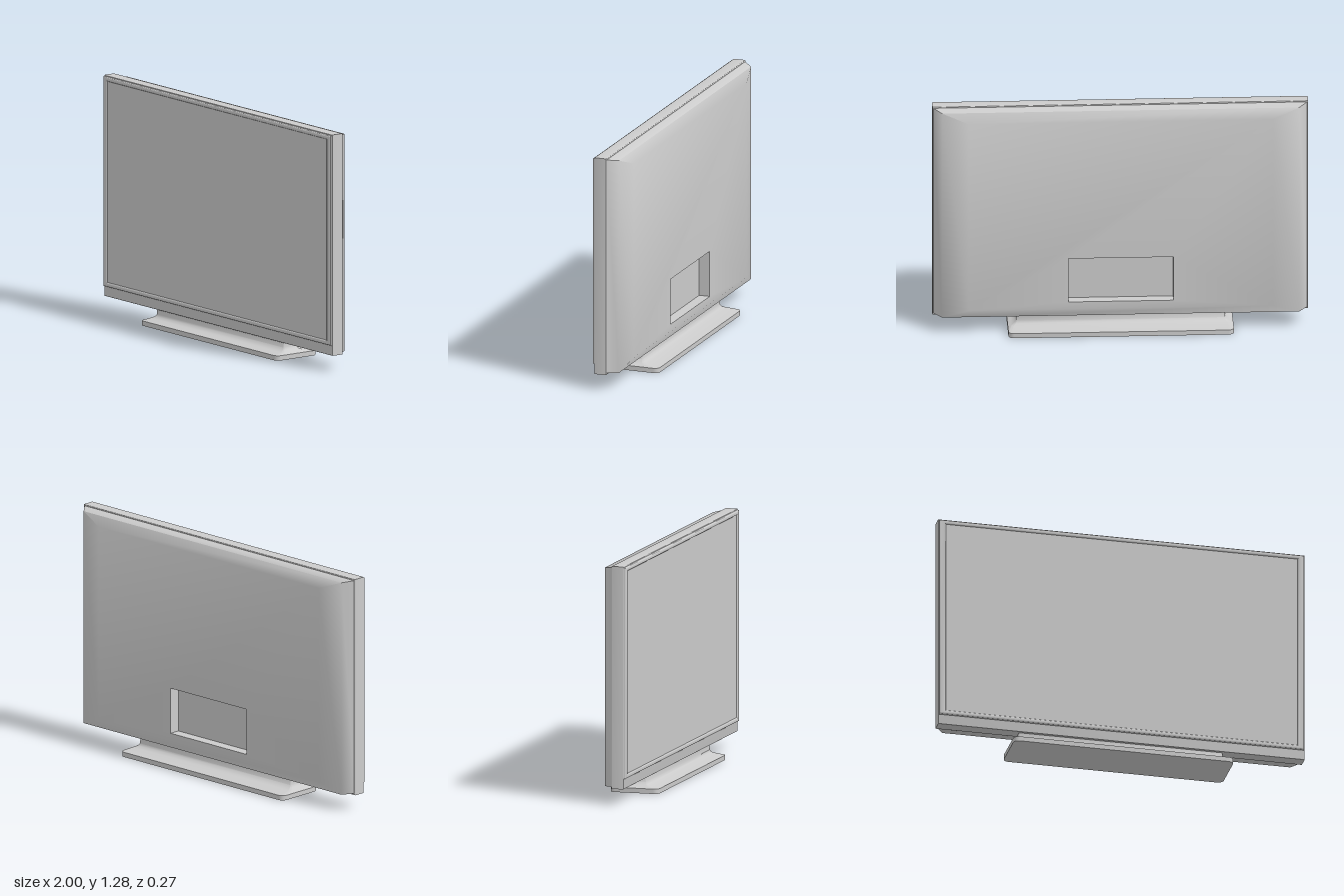
import * as THREE from 'three';
import { mergeGeometries, toCreasedNormals } from 'three/addons/utils/BufferGeometryUtils.js';

const grey = new THREE.MeshStandardMaterial({ color: 0xcccccc });

// Counter-clockwise rectangle, with optional rounded corners
function rect(x0, x1, y0, y1, r = 0, seg = 5) {
  if (!r) return [[x0, y0], [x1, y0], [x1, y1], [x0, y1]].map(p => new THREE.Vector2(...p));
  const centres = [[x1 - r, y0 + r], [x1 - r, y1 - r], [x0 + r, y1 - r], [x0 + r, y0 + r]];
  const points = [];
  centres.forEach(([cx, cy], k) => {
    for (let i = 0; i <= seg; i++) {
      const a = (k - 1 + i / seg) * Math.PI / 2;
      points.push(new THREE.Vector2(cx + r * Math.cos(a), cy + r * Math.sin(a)));
    }
  });
  return points;
}

// Skin through rings of equal point count, each { points, z }
function loft(levels) {
  const pos = [];
  for (let i = 0; i + 1 < levels.length; i++) {
    const n = levels[i].points.length;
    for (let j = 0; j < n; j++) {
      const corner = (l, k) => [levels[l].points[k % n].x, levels[l].points[k % n].y, levels[l].z];
      const a = corner(i, j), b = corner(i, j + 1), c = corner(i + 1, j + 1), d = corner(i + 1, j);
      pos.push(...a, ...b, ...c, ...a, ...c, ...d);
    }
  }
  const g = new THREE.BufferGeometry();
  g.setAttribute('position', new THREE.Float32BufferAttribute(pos, 3));
  return g;
}

// Flat face at height z, facing +z or (back) -z
function cap(points, z, back, hole) {
  const shape = new THREE.Shape(points);
  if (hole) shape.holes.push(new THREE.Path(hole));
  const g = new THREE.ShapeGeometry(shape);
  if (back) g.index.array.reverse();
  g.deleteAttribute('normal');
  g.deleteAttribute('uv');
  return g.translate(0, 0, z).toNonIndexed();
}

const smooth = (parts, angle) => toCreasedNormals(mergeGeometries(parts), angle);

// Bevelled slab or frame between two z planes
function slab(outer, z0, z1, bevel, hole) {
  const shape = new THREE.Shape(outer);
  if (hole) shape.holes.push(new THREE.Path(hole));
  const g = new THREE.ExtrudeGeometry(shape, {
    depth: z1 - z0 - 2 * bevel, bevelEnabled: true,
    bevelSize: bevel, bevelThickness: bevel, bevelOffset: -bevel, bevelSegments: 4,
  }).translate(0, 0, z0 + bevel);
  return toCreasedNormals(g, 0.7);
}

export function createModel() {
  const model = new THREE.Group();
  const add = (name, geometry) => {
    const mesh = new THREE.Mesh(geometry, grey);
    mesh.name = name;
    model.add(mesh);
  };

  // Cabinet, with its lower strip showing below the bezel
  add('cabinet', slab(rect(-1, 1, 0.085, 1.284), 0.002, 0.071, 0.004));

  // Rounded bezel and the screen set into it
  add('bezel', slab(rect(-0.997, 0.997, 0.14, 1.279), 0.06, 0.083, 0.01, rect(-0.96, 0.96, 0.165, 1.255)));
  add('screen', new THREE.BoxGeometry(1.94, 1.11, 0.01).translate(0, 0.71, 0.071));

  // Back shell with sloping edges and a connector recess
  const backRect = rect(-0.81, 0.81, 0.14, 1.215);
  const recess = rect(-0.28, 0.28, 0.18, 0.43);
  add('backShell', smooth([
    loft([
      { points: backRect, z: -0.08 },
      { points: rect(-0.95, 0.95, 0.09, 1.267), z: -0.05 },
      { points: rect(-0.996, 0.996, 0.095, 1.277), z: 0.004 },
    ]),
    cap(backRect, -0.08, true, recess),
  ], 1.0));
  add('connectorRecess', smooth([
    loft([{ points: recess, z: -0.02 }, { points: recess, z: -0.08 }]),
    cap(recess, -0.02, true),
  ], 0.5));

  // Stand: wide foot flaring up into the neck; rows are half width, front z, back z, height, radius
  const levels = [
    [0.6, 0.136, -0.136, 0, 0.03],
    [0.6, 0.136, -0.136, 0.026, 0.03],
    [0.582, 0.085, -0.06, 0.036, 0.02],
    [0.566, 0.066, -0.04, 0.044, 0.012],
    [0.557, 0.058, -0.03, 0.056, 0.006],
    [0.556, 0.056, -0.028, 0.086, 0.006],
  ].map(([hx, front, back, y, r]) => ({ points: rect(-hx, hx, -front, -back, r), z: y }));
  const top = levels[levels.length - 1];
  add('stand', smooth([
    loft(levels), cap(levels[0].points, 0, true), cap(top.points, top.z, false),
  ], 0.9).rotateX(-Math.PI / 2));

  return model;
}
